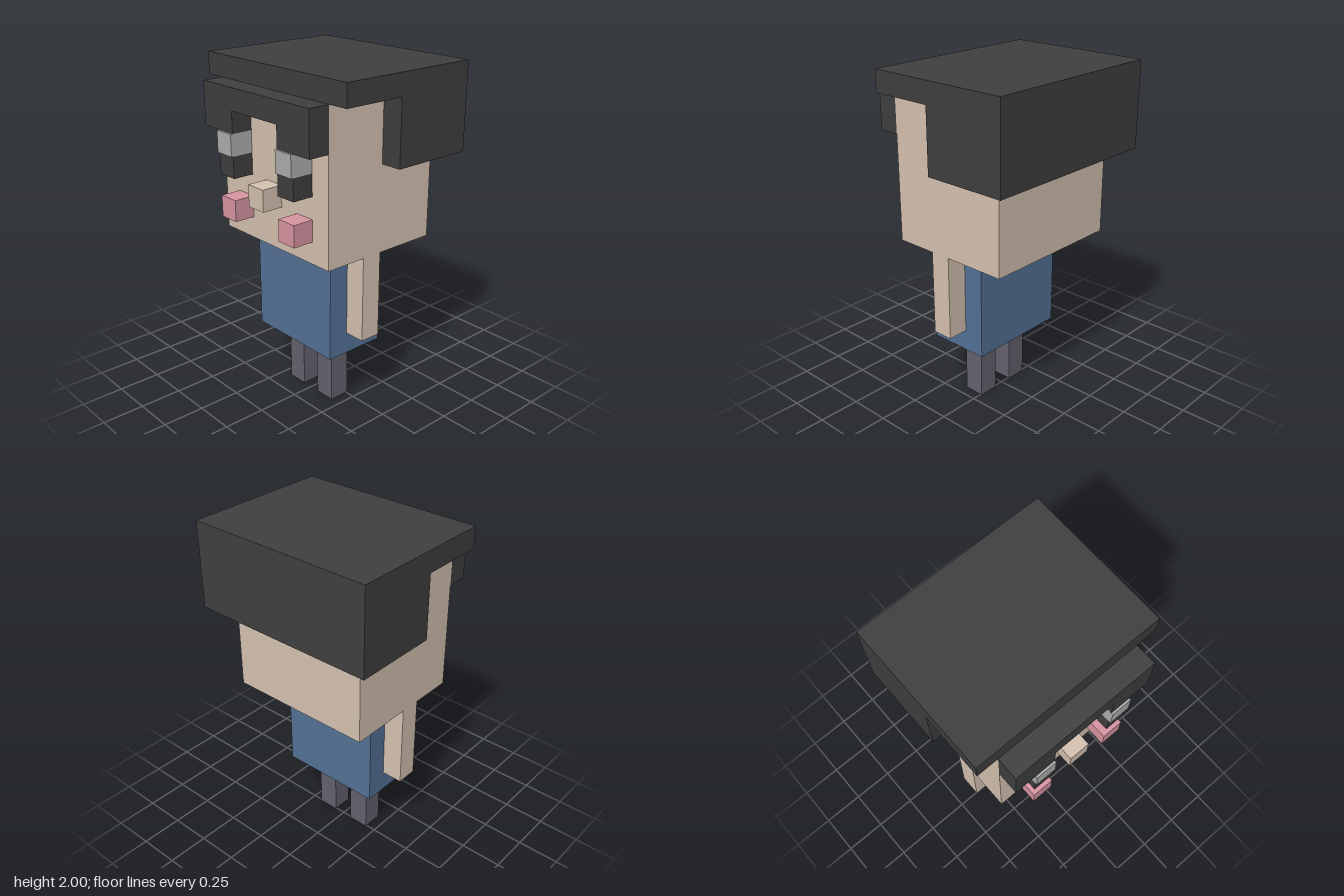
import * as THREE from 'three';

const UNIT = 0.125; // one voxel

const material = (color) => new THREE.MeshStandardMaterial({ color, flatShading: true });

export function createModel() {
  const hairMat = material(0x404040);
  const skin = material(0xd8c4b3);
  const shirt = material(0x557398);
  const trousers = material(0x656470);
  const blush = material(0xdb97a5);
  const eyeGrey = material(0xb0b0b0);

  const figure = new THREE.Group();
  figure.name = 'figure';
  figure.scale.setScalar(UNIT);
  figure.position.z = -0.0075;

  const add = (name, geometry, mat) => {
    const mesh = new THREE.Mesh(geometry, mat);
    mesh.name = name;
    figure.add(mesh);
    return mesh;
  };

  // Box between two corners, in voxels
  const box = (name, mat, [x0, y0, z0], [x1, y1, z1]) =>
    add(name, new THREE.BoxGeometry(x1 - x0, y1 - y0, z1 - z0), mat)
      .position.set((x0 + x1) / 2, (y0 + y1) / 2, (z0 + z1) / 2);

  // The same box on the left (+x) and right (-x)
  const pair = (name, mat, [x0, y0, z0], [x1, y1, z1]) => {
    box('left' + name, mat, [x0, y0, z0], [x1, y1, z1]);
    box('right' + name, mat, [-x1, y0, z0], [-x0, y1, z1]);
  };

  // Straight extrusion of a polygon
  const extrude = (points, depth) => new THREE.ExtrudeGeometry(
    new THREE.Shape(points.map(([x, y]) => new THREE.Vector2(x, y))),
    { depth, bevelEnabled: false });

  // Head and torso
  box('head', skin, [-3.5, 8, -3], [3.5, 15, 3]);
  box('torso', shirt, [-2.5, 3, -1], [2.5, 8, 2]);

  // Limbs
  pair('Arm', skin, [2.5, 4, 0], [3.5, 8, 1]);
  pair('Leg', trousers, [0.5, 0, 0], [1.5, 3, 1]);

  // Hair: L-shaped side profile (z, y), swept across the width
  const cap = extrude([[-4, 12], [0, 12], [0, 15], [3, 15], [3, 16], [-4, 16]], 9);
  cap.translate(0, 0, -4.5).rotateY(-Math.PI / 2);
  add('hair', cap, hairMat);

  // Fringe: arch in front of the forehead
  const fringe = extrude([
    [-3.5, 13], [-1.5, 13], [-1.5, 14], [1.5, 14],
    [1.5, 13], [3.5, 13], [3.5, 15], [-3.5, 15],
  ], 1);
  fringe.translate(0, 0, 3);
  add('fringe', fringe, hairMat);

  // Face
  pair('EyeUpper', eyeGrey, [1.5, 12, 3], [2.5, 13, 4.1]);
  pair('EyeLower', hairMat, [1.5, 11, 3], [2.5, 12, 4]);
  pair('Cheek', blush, [1.5, 9, 3], [2.5, 10, 4]);
  box('nose', skin, [-0.5, 10, 3], [0.5, 11, 4]);

  const model = new THREE.Group();
  model.name = 'blockPerson';
  model.add(figure);
  return model;
}
